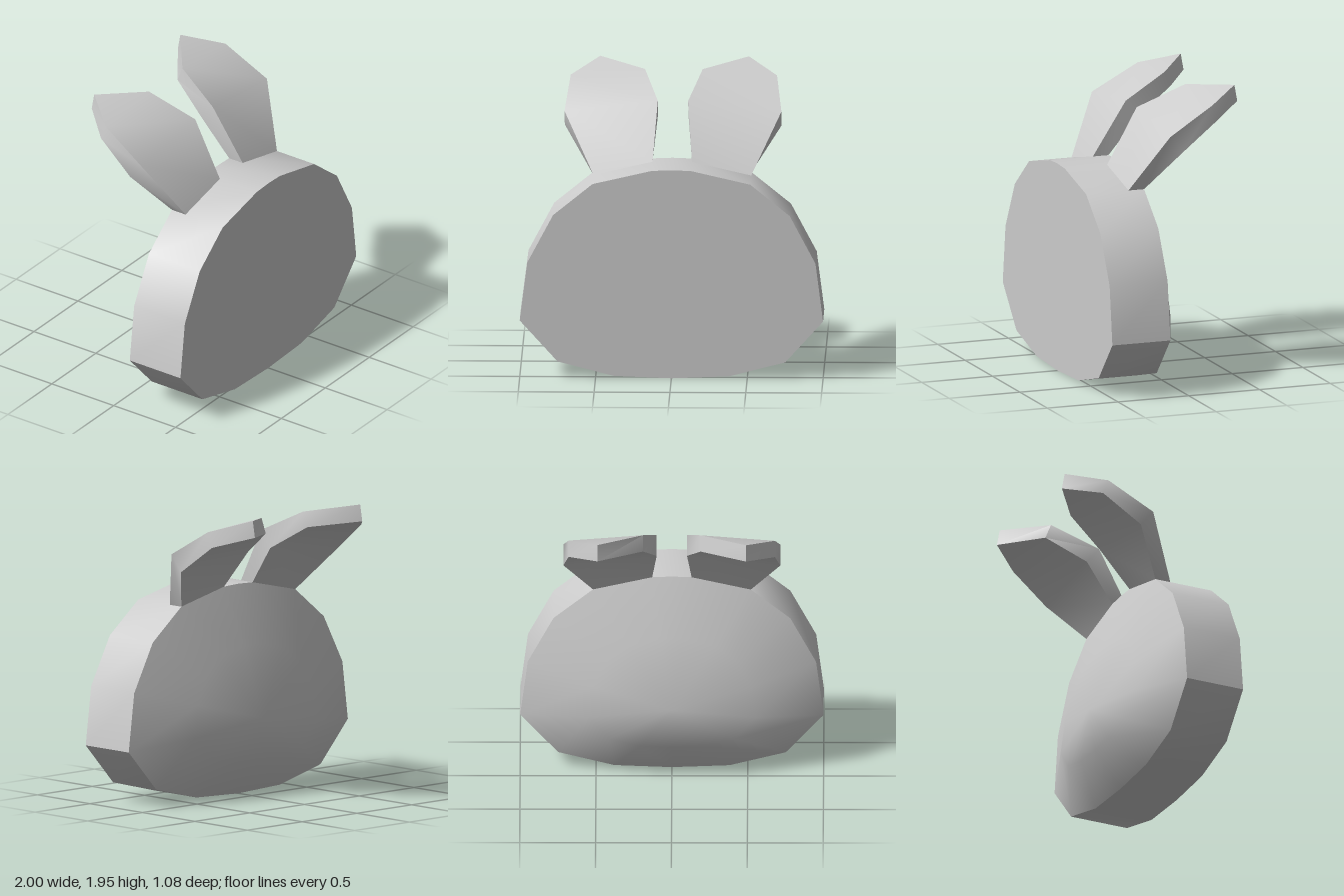
import * as THREE from 'three';
import { toCreasedNormals } from 'three/addons/utils/BufferGeometryUtils.js';

// Skin a list of closed cross-sections that have equal point counts;
// a section with all points equal closes the form.
function loft(sections) {
  const pos = [];
  const tri = (a, b, c) => {
    const same = (p, q) => p.every((v, i) => v === q[i]);
    if (!same(a, b) && !same(b, c) && !same(a, c)) pos.push(...a, ...b, ...c);
  };
  for (let i = 0; i < sections.length - 1; i++) {
    const s = sections[i], t = sections[i + 1], n = s.length;
    for (let k = 0; k < n; k++) {
      const m = (k + 1) % n;
      tri(s[k], t[k], t[m]);
      tri(s[k], t[m], s[m]);
    }
  }
  const g = new THREE.BufferGeometry();
  g.setAttribute('position', new THREE.Float32BufferAttribute(pos, 3));
  return toCreasedNormals(g, 0.7);
}

export function createModel() {
  const group = new THREE.Group();
  const grey = new THREE.MeshStandardMaterial({ color: 0xcccccc });
  grey.name = 'light grey';
  const add = (name, geometry) => {
    const mesh = new THREE.Mesh(geometry, grey);
    mesh.name = name;
    group.add(mesh);
  };

  // Head: flat front, straight rim and shallow domed back
  const half = [[0.38, 0.015], [0.75, 0.11], [1, 0.385], [0.95, 0.775],
    [0.78, 1.095], [0.52, 1.305], [0.13, 1.395]];
  const outline = [[0, 0], ...half, [0, 1.4],
    ...half.slice().reverse().map(([x, y]) => [-x, y])];
  const cy = 0.53, inset = 0.55;
  const ring = (scale, z) => outline.map(([x, y]) => [x * scale, cy + (y - cy) * scale, z(y)]);
  add('head', loft([
    ring(0, () => 0.54),
    ring(1, () => 0.54),
    ring(1, () => 0.13),
    ring(inset, y => -0.06 + 0.06 * y / 1.4),
    ring(0, () => -0.10),
  ]));

  // Ears: thick leaf shapes bending backwards to a pointed tip
  // each row: outer x, outer y, inner x, inner y, front z, back z, drop of the back face
  const rows = [
    [0.52, 1.305, 0.13, 1.395, 0.24, 0.13, 0],
    [0.715, 1.69, 0.10, 1.76, 0.02, -0.07, 0.11],
    [0.68, 1.87, 0.19, 1.91, -0.29, -0.33, 0.10],
    [0.49, 1.95, 0.49, 1.95, -0.52, -0.54, 0.11],
  ];
  for (const [name, s] of [['leftEar', 1], ['rightEar', -1]]) {
    const sections = rows.map(([ox, oy, ix, iy, zf, zb, drop]) => {
      const loop = [[s * ox, oy, zf], [s * ix, iy, zf],
        [s * ix, iy - drop, zb], [s * ox, oy - drop, zb]];
      return s < 0 ? loop.reverse() : loop;
    });
    add(name, loft(sections));
  }
  return group;
}
